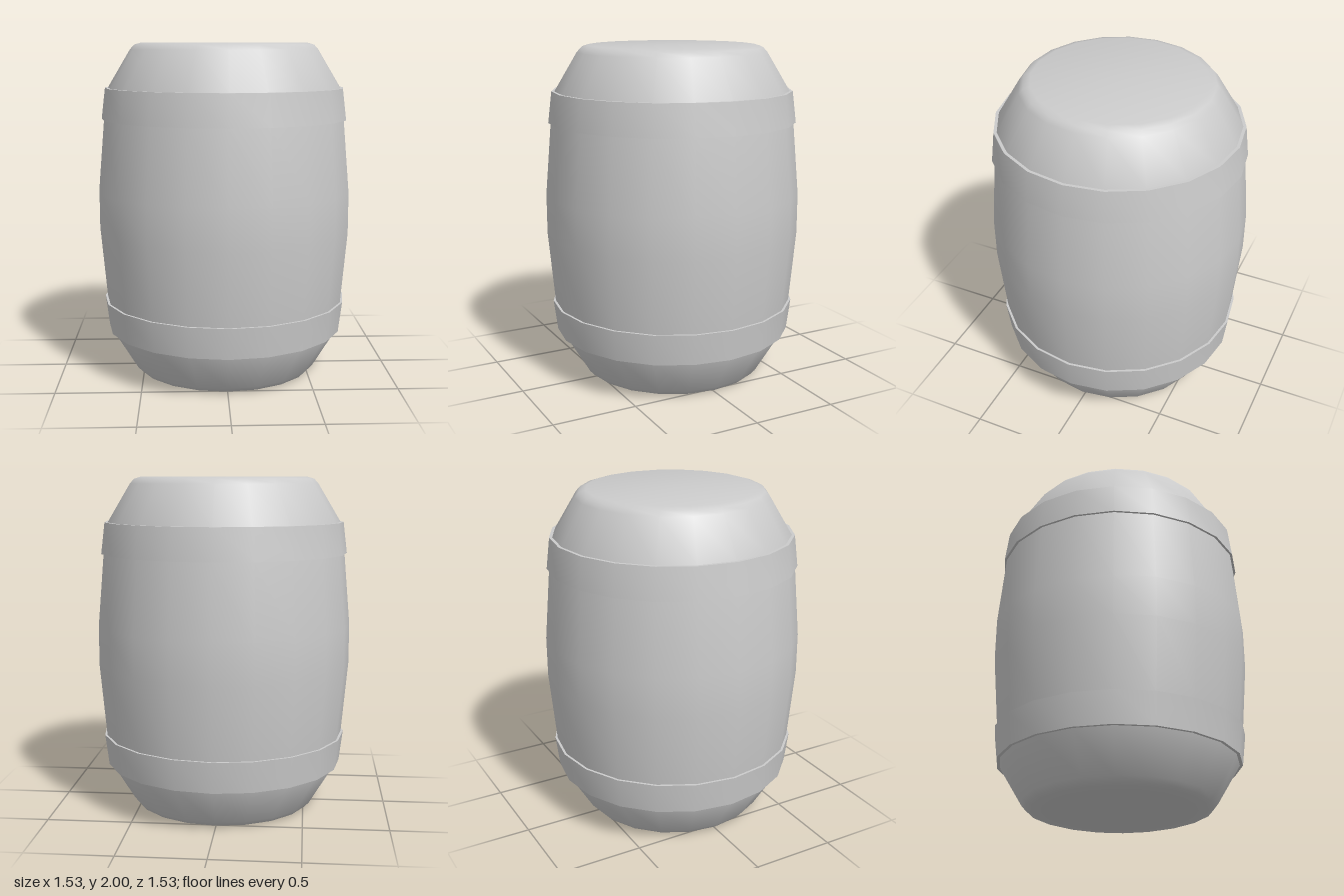
import * as THREE from 'three';
import { toCreasedNormals } from 'three/addons/utils/BufferGeometryUtils.js';

const SIDES = 20;
const material = new THREE.MeshStandardMaterial({ color: 0xcccccc });

// Turns a [radius, height] profile, listed bottom to top on its outer side
function turned(name, profile) {
  const points = profile.map(([r, y]) => new THREE.Vector2(r, y));
  const geometry = toCreasedNormals(new THREE.LatheGeometry(points, SIDES), 0.65);
  const mesh = new THREE.Mesh(geometry, material);
  mesh.name = name;
  return mesh;
}

// Reflects a profile about mid height, keeping the bottom to top order
const flip = (profile) => profile.map(([r, y]) => [r, 2 - y]).reverse();

export function createModel() {
  const barrel = new THREE.Group();
  barrel.name = 'barrel';

  // Bulging body with softly bevelled, flat ends
  const lowerHalf = [
    [0, 0], [0.5, 0], [0.54, 0.012], [0.565, 0.04],
    [0.7, 0.265], [0.727, 0.45], [0.765, 0.88],
  ];
  barrel.add(turned('body', [...lowerHalf, ...flip(lowerHalf)]));

  // Hoops, each a closed band widening towards the middle
  const hoop = [[0.69, 0.265], [0.718, 0.265], [0.741, 0.45], [0.715, 0.45]];
  barrel.add(turned('lowerHoop', hoop));
  barrel.add(turned('upperHoop', flip(hoop)));

  return barrel;
}
